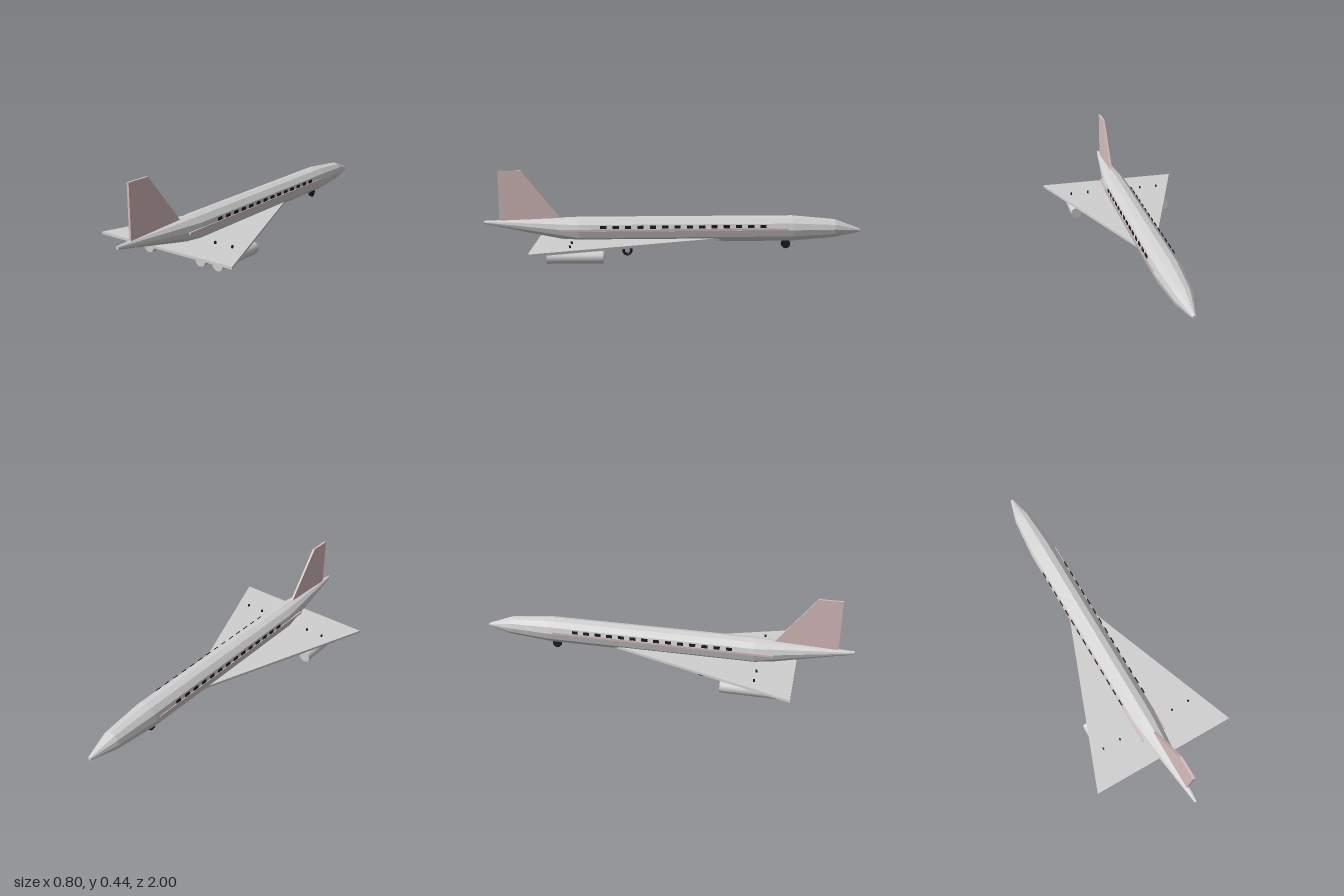
import * as THREE from 'three';

const paint = (name, color, extra = {}) => {
  const m = new THREE.MeshStandardMaterial({ color, ...extra });
  m.name = name;
  return m;
};

// Loft of regular polygon rings [z, centre y, radius], closed at both ends
function loft(stations, sides) {
  const pos = [], index = [];
  for (const [z, cy, r] of stations) {
    for (let j = 0; j < sides; j++) {
      const a = (j / sides) * Math.PI * 2;
      pos.push(Math.sin(a) * r, cy + Math.cos(a) * r, z);
    }
  }
  const last = stations.length - 1;
  for (let i = 0; i < last; i++) {
    for (let j = 0; j < sides; j++) {
      const k = (j + 1) % sides;
      const a = i * sides + j, b = i * sides + k;
      index.push(a, a + sides, b, b, a + sides, b + sides);
    }
  }
  for (let j = 1; j < sides - 1; j++) {
    index.push(0, j, j + 1);
    index.push(last * sides, last * sides + j + 1, last * sides + j);
  }
  const g = new THREE.BufferGeometry();
  g.setAttribute('position', new THREE.Float32BufferAttribute(pos, 3));
  g.setIndex(index);
  g.computeVertexNormals();
  return g;
}

// Flat plate cut from an outline
function plate(points, depth) {
  const shape = new THREE.Shape(points.map(([x, y]) => new THREE.Vector2(x, y)));
  return new THREE.ExtrudeGeometry(shape, { depth, bevelEnabled: false });
}

export function createModel() {
  const model = new THREE.Group();
  model.name = 'airliner';

  const body = paint('light grey', 0xd0d0d0, { flatShading: true });
  const smooth = paint('engine grey', 0xd0d0d0);
  const pink = paint('dusty pink', 0xd6bcbc);
  const black = paint('black', 0x1c1c1e);
  const white = paint('hub white', 0xeeeeee);

  const add = (name, geometry, material, x = 0, y = 0, z = 0) => {
    const mesh = new THREE.Mesh(geometry, material);
    mesh.name = name;
    mesh.position.set(x, y, z);
    model.add(mesh);
    return mesh;
  };

  // Fuselage, nose towards -z
  add('fuselage', loft([
    [-1, 0.11, 0.009],
    [-0.86, 0.122, 0.049],
    [-0.63, 0.124, 0.069],
    [0.5, 0.124, 0.069],
    [1, 0.166, 0.008],
  ], 12), body);

  // Delta wing
  const wing = plate([[0, -0.357], [0.4, 0.715], [-0.4, 0.715]], 0.013);
  wing.rotateX(Math.PI / 2);
  add('wing', wing, body, 0, 0.08, 0);

  // Tail fin
  const fin = plate([[0.58, 0.165], [0.92, 0.165], [0.92, 0.44], [0.8, 0.44], [0.6, 0.19]], 0.012);
  fin.translate(0, 0, -0.006);
  fin.rotateY(-Math.PI / 2);
  add('tailFin', fin, pink);

  const engine = new THREE.CylinderGeometry(0.03, 0.03, 0.28, 24).rotateX(Math.PI / 2);
  const pylon = new THREE.BoxGeometry(0.007, 0.05, 0.01);
  const cabinWindow = new THREE.BoxGeometry(0.004, 0.016, 0.032);
  const stripe = new THREE.BoxGeometry(0.009, 0.011, 1.2);
  const tyre = new THREE.TorusGeometry(0.02, 0.007, 8, 14).rotateY(Math.PI / 2);

  for (const s of [1, -1]) {
    // Engines and the pins that hold them
    for (const x of [0.16, 0.26]) {
      add('engine', engine, smooth, s * x, 0.032, 0.5);
      add('enginePylon', pylon, black, s * x, 0.068, 0.527);
    }

    // Cabin windows and side stripe
    for (let i = 0; i < 14; i++) {
      add('cabinWindow', cabinWindow, black, s * 0.068, 0.146, 0.371 - i * 0.0646);
    }
    add('sideStripe', stripe, pink, s * 0.066, 0.13, 0);

    // Main wheels with hubs on the inner face
    add('mainWheel', tyre, black, s * 0.14, 0.04, 0.245);
    const hub = new THREE.CircleGeometry(0.016, 14).rotateY(-s * Math.PI / 2);
    add('mainWheelHub', hub, white, s * 0.14, 0.04, 0.245);
  }

  // Nose wheel
  add('noseWheel', new THREE.CylinderGeometry(0.025, 0.025, 0.014, 12).rotateZ(Math.PI / 2),
    black, 0, 0.039, -0.6);

  return model;
}
